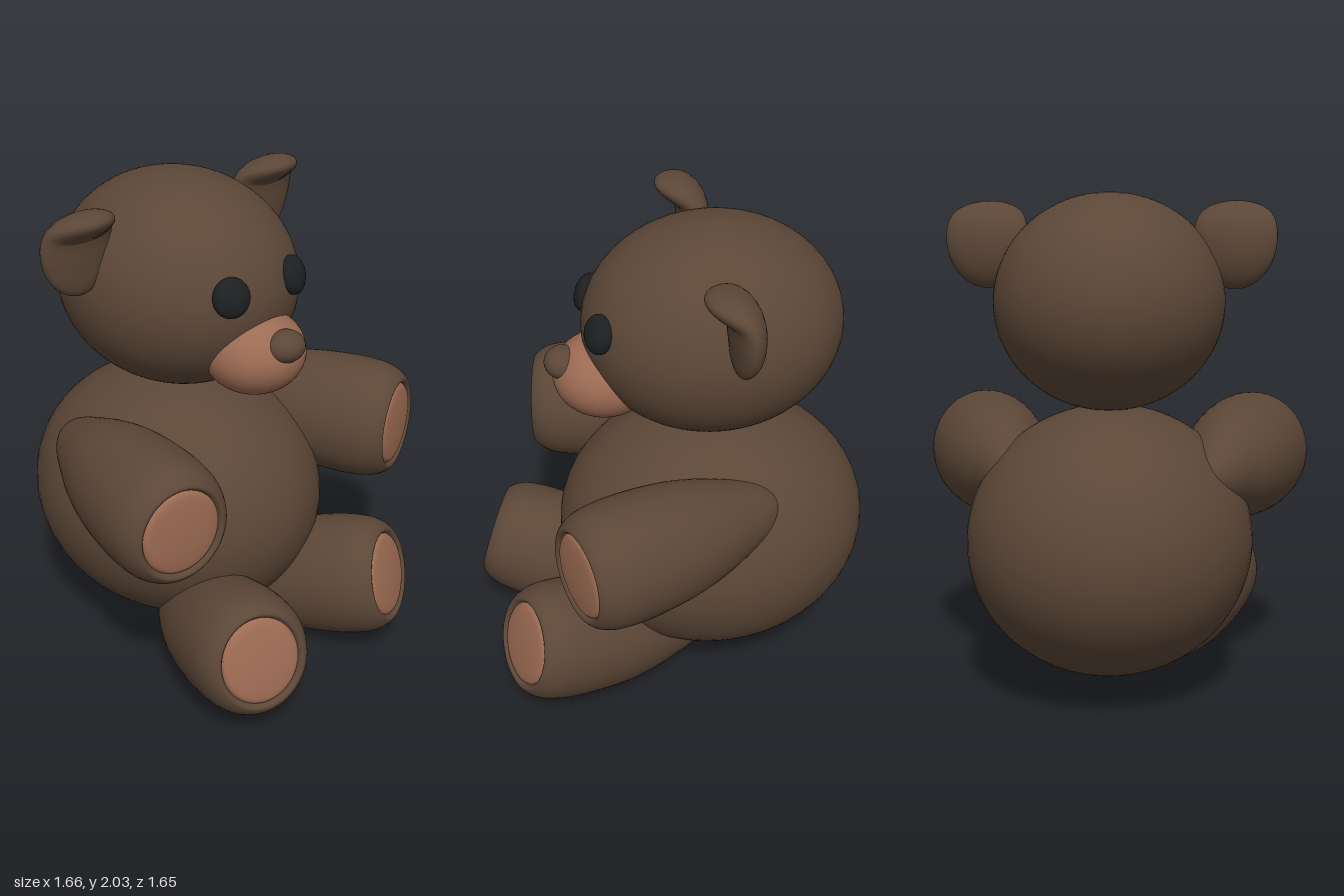
import * as THREE from 'three';

const brown = new THREE.MeshStandardMaterial({ color: 0x5c4737 });
brown.name = 'brown fur';
const tan = new THREE.MeshStandardMaterial({ color: 0x9c6b53 });
tan.name = 'tan pad';
const black = new THREE.MeshStandardMaterial({ color: 0x1d2022 });
black.name = 'eye black';

const V2 = (x, y) => new THREE.Vector2(x, y);
const rad = THREE.MathUtils.degToRad;

function ellipsoid(name, material, center, radii, segments = 48) {
  const geometry = new THREE.SphereGeometry(1, segments, segments * 0.75);
  geometry.scale(...radii);
  const mesh = new THREE.Mesh(geometry, material);
  mesh.name = name;
  mesh.position.set(...center);
  return mesh;
}

// Lathe running along z, slightly taller than wide
function turned(name, material, points) {
  const profile = new THREE.SplineCurve(points).getPoints(48);
  profile.forEach((p) => { p.x = Math.max(p.x, 0); });
  const geometry = new THREE.LatheGeometry(profile, 48);
  geometry.rotateX(Math.PI / 2);
  geometry.scale(1, 1.07, 1);
  const mesh = new THREE.Mesh(geometry, material);
  mesh.name = name;
  return mesh;
}

// Teardrop limb with its origin at the middle of the pad
function limb(name, position, yaw, pitch) {
  const group = new THREE.Group();
  group.name = name;
  group.add(turned(name + 'Fur', brown, [
    V2(0, -0.94), V2(0.06, -0.905), V2(0.11, -0.83), V2(0.152, -0.72), V2(0.192, -0.6),
    V2(0.222, -0.47), V2(0.238, -0.33), V2(0.243, -0.2), V2(0.235, -0.095),
    V2(0.215, -0.035), V2(0.19, -0.003), V2(0.175, 0), V2(0.164, -0.015),
  ]));
  group.add(turned(name + 'Pad', tan, [
    V2(0.165, -0.016), V2(0.145, 0), V2(0.08, 0.009), V2(0, 0.012),
  ]));
  group.position.set(...position);
  group.rotation.order = 'YXZ';
  group.rotation.set(-rad(pitch), rad(yaw), 0);
  return group;
}

// Flattened sphere bent along a curve, so the top curls forward
function ear(name, x) {
  const spine = new THREE.SplineCurve([
    V2(-0.165, 1.618), V2(-0.185, 1.76), V2(-0.16, 1.885), V2(-0.03, 1.94),
  ]);
  const geometry = new THREE.SphereGeometry(1, 40, 32);
  const pos = geometry.attributes.position;
  for (let i = 0; i < pos.count; i++) {
    const t = THREE.MathUtils.clamp((pos.getY(i) + 1) / 2, 0, 1);
    const c = spine.getPointAt(t);
    const d = spine.getTangentAt(t);
    const off = pos.getZ(i) * 0.066;
    pos.setXYZ(i, pos.getX(i) * 0.165, c.y - d.x * off, c.x + d.y * off);
  }
  geometry.computeVertexNormals();
  const mesh = new THREE.Mesh(geometry, brown);
  mesh.name = name;
  mesh.position.x = x;
  return mesh;
}

export function createModel() {
  const bear = new THREE.Group();
  bear.name = 'teddyBear';

  // Body and head
  bear.add(ellipsoid('body', brown, [-0.015, 0.6, -0.177], [0.582, 0.55, 0.655], 64));
  bear.add(ellipsoid('head', brown, [-0.012, 1.565, -0.168], [0.464, 0.435, 0.525], 64));

  // Face
  bear.add(ellipsoid('muzzle', tan, [-0.01, 1.373, 0.27], [0.206, 0.17, 0.21]));
  bear.add(ellipsoid('nose', brown, [-0.008, 1.442, 0.437], [0.082, 0.064, 0.075], 32));
  for (const [name, x, side] of [['rightEye', -0.177, -1], ['leftEye', 0.16, 1]]) {
    const eye = ellipsoid(name, black, [x, 1.652, 0.312], [0.075, 0.079, 0.045], 32);
    eye.rotation.order = 'YXZ';
    eye.rotation.set(-rad(14), side * rad(24), 0);
    bear.add(eye);
  }

  // Ears
  bear.add(ear('rightEar', -0.512), ear('leftEar', 0.482));

  // Limbs, each posed a little differently
  bear.add(limb('rightArm', [-0.613, 0.89, 0.505], -12, 0));
  bear.add(limb('leftArm', [0.648, 0.885, 0.49], 20, 0));
  bear.add(limb('rightLeg', [-0.42, 0.328, 0.74], -20, 15));
  bear.add(limb('leftLeg', [0.39, 0.338, 0.7], 20, 15));

  return bear;
}
